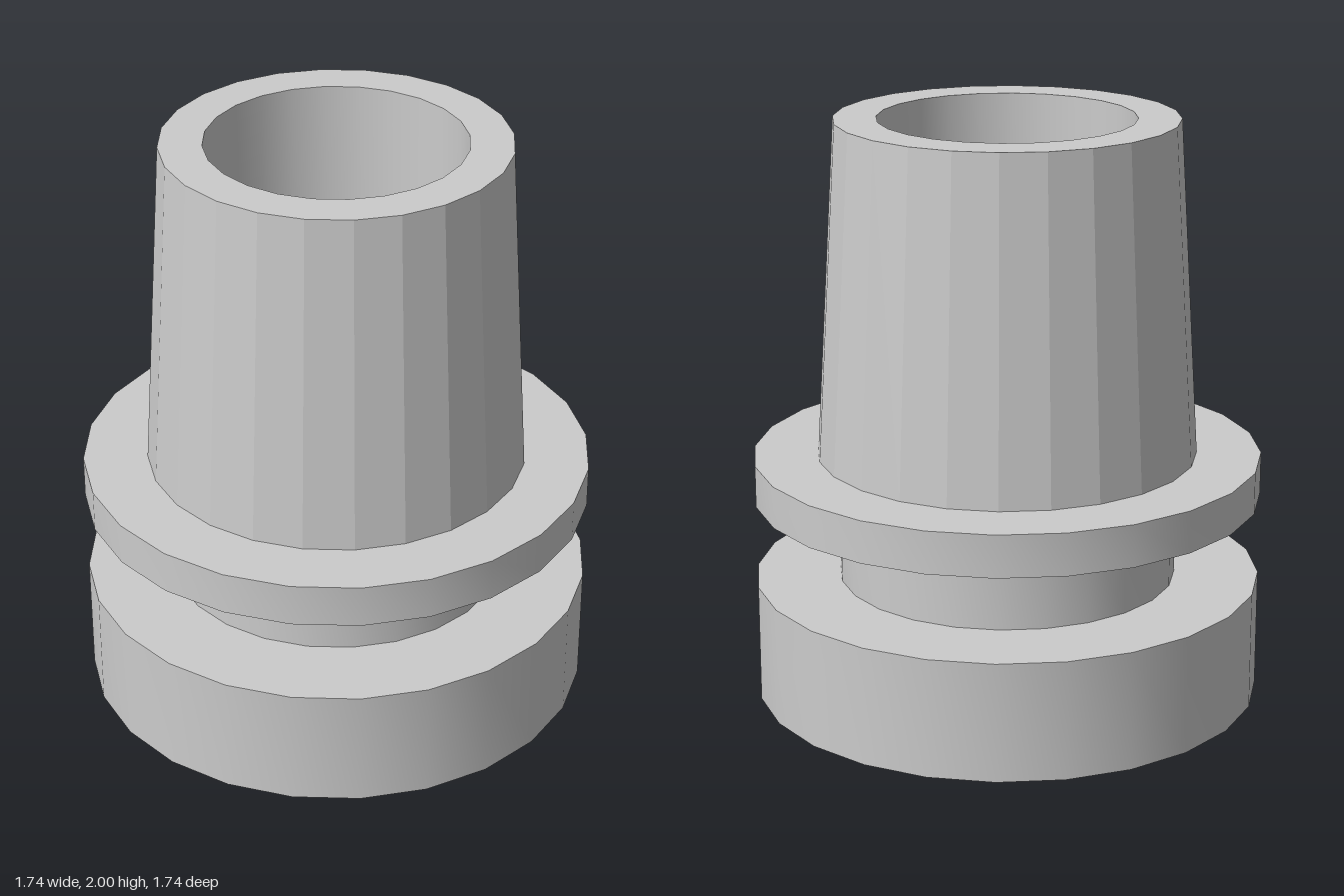
import * as THREE from 'three';
import { toCreasedNormals } from 'three/addons/utils/BufferGeometryUtils.js';

const SIDES = 24;
const BORE = 0.435, NECK = 0.58, RIM = 0.87;

// Revolve a [radius, height] profile; side facets blend, profile corners stay sharp
function turned(name, profile, flatShading = false) {
  const points = profile.map(([r, y]) => new THREE.Vector2(r, y));
  const geometry = toCreasedNormals(new THREE.LatheGeometry(points, SIDES), Math.PI / 6);
  const material = new THREE.MeshStandardMaterial({ color: 0xcccccc, flatShading });
  const mesh = new THREE.Mesh(geometry, material);
  mesh.name = name;
  return mesh;
}

export function createModel() {
  const group = new THREE.Group();
  group.name = 'flangedSleeve';
  group.add(
    // Thick base collar with its underside and top shoulder
    turned('baseCollar', [[BORE, 0], [RIM, 0], [RIM, 0.41], [NECK, 0.41]]),
    // Groove between collar and flange
    turned('neck', [[NECK, 0.41], [NECK, 0.7]]),
    // Thin flange
    turned('flange', [[NECK, 0.7], [RIM, 0.7], [RIM, 0.845], [0.65, 0.845]]),
    // Faceted tapered sleeve and its top lip
    turned('taperedSleeve', [[0.65, 0.845], [0.58, 2], [BORE, 2]], true),
    // Through hole, facing inward
    turned('bore', [[BORE, 2], [BORE, 0]]),
  );
  return group;
}
